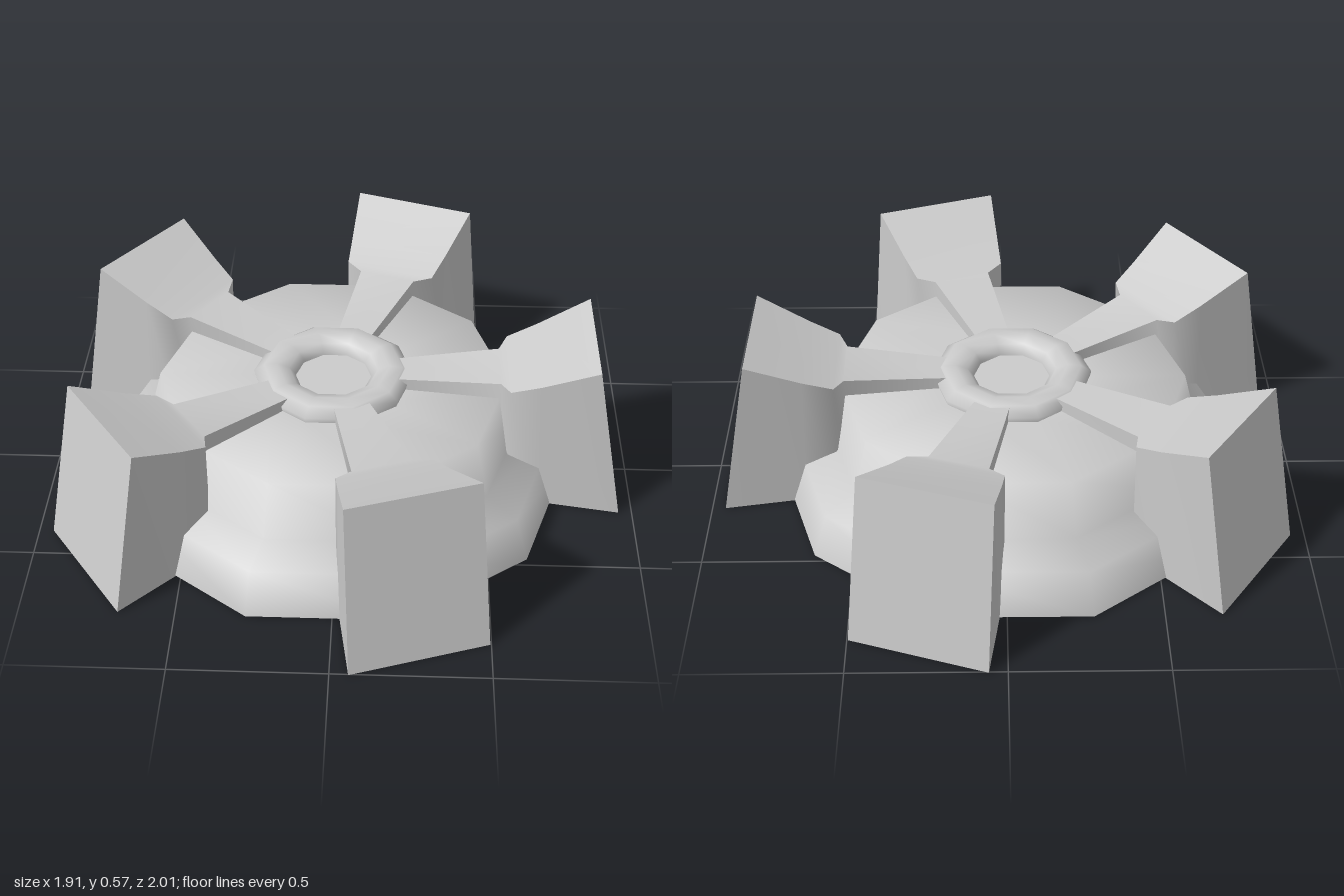
import * as THREE from 'three';
import { toCreasedNormals } from 'three/addons/utils/BufferGeometryUtils.js';

const SIDES = 10;
const ARMS = 5;
const material = new THREE.MeshStandardMaterial({ color: 0xcccccc });

// Ten-sided turned part with a corner on the x axis
function turned(name, points) {
  const profile = points.map(([r, y]) => new THREE.Vector2(r, y));
  const geometry = new THREE.LatheGeometry(profile, SIDES).rotateY(Math.PI / 2);
  const mesh = new THREE.Mesh(geometry, material);
  mesh.name = name;
  return mesh;
}

// Solid arm along +x, lofted through four-cornered sections
function armGeometry() {
  // [bottom radius, bottom half width, top radius, top half width, top height]
  const sections = [
    [0.22, 0.06, 0.22, 0.06, 0.42],
    [0.56, 0.10, 0.56, 0.10, 0.44],
    [0.60, 0.16, 0.59, 0.16, 0.45],
    [0.71, 0.185, 0.69, 0.18, 0.49],
    [0.98, 0.23, 0.87, 0.215, 0.575],
  ];
  const positions = [];
  const index = [];
  for (const [rb, hb, rt, ht, y] of sections) {
    positions.push(rb, 0, -hb, rb, 0, hb, rt, y, ht, rt, y, -ht);
  }
  for (let i = 0; i < sections.length - 1; i++) {
    for (let j = 0; j < 4; j++) {
      const k = (j + 1) % 4;
      const a = i * 4, b = a + 4;
      index.push(a + j, b + j, a + k, a + k, b + j, b + k);
    }
  }
  // End caps
  const e = (sections.length - 1) * 4;
  index.push(0, 1, 2, 0, 2, 3, e, e + 2, e + 1, e, e + 3, e + 2);
  const geometry = new THREE.BufferGeometry();
  geometry.setAttribute('position', new THREE.Float32BufferAttribute(positions, 3));
  geometry.setIndex(index);
  return toCreasedNormals(geometry, 1.0);
}

export function createModel() {
  const model = new THREE.Group();
  model.name = 'fiveArmBase';

  // Stepped body: flared rim, shoulder and raised drum
  model.add(turned('body', [
    [0, 0.004], [0.81, 0.004], [0.81, 0.004], [0.76, 0.15],
    [0.64, 0.19], [0.59, 0.38], [0.25, 0.38], [0, 0.38],
  ]));

  // Rounded ring around the centre
  model.add(turned('hubRing', [
    [0.26, 0.36], [0.27, 0.40], [0.235, 0.425], [0.19, 0.43],
    [0.15, 0.415], [0.13, 0.39], [0.13, 0.36],
  ]));

  // Arms that widen and rise towards their outer faces
  const geometry = armGeometry();
  const arms = new THREE.Group();
  arms.name = 'arms';
  for (let i = 0; i < ARMS; i++) {
    const arm = new THREE.Mesh(geometry, material);
    arm.name = 'arm' + (i + 1);
    arm.rotation.y = (i * Math.PI * 2) / ARMS;
    arms.add(arm);
  }
  model.add(arms);

  // Centre the outline, since the single arm reaches further along +x
  for (const part of model.children) part.position.x = -0.025;
  return model;
}
